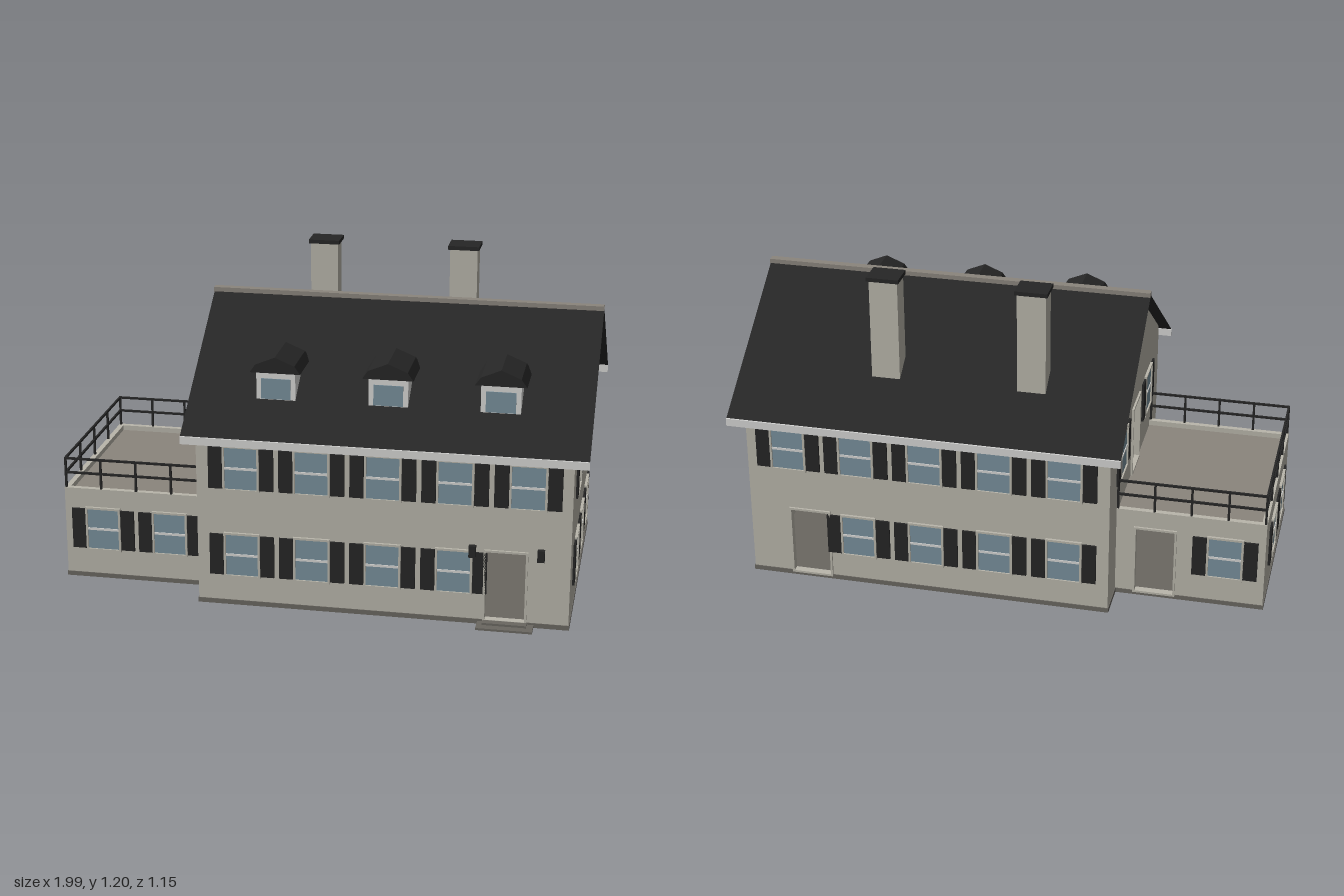
import * as THREE from 'three';

const mat = (name, color, side = THREE.FrontSide) => {
  const m = new THREE.MeshStandardMaterial({ color, side });
  m.name = name;
  return m;
};

export function createModel() {
  const stone = mat('stone wall', 0xb9b6ab);
  const black = mat('black paint', 0x262626, THREE.DoubleSide);
  const white = mat('white trim', 0xd6d6d4);
  const glass = mat('glass', 0x78909c);
  const base = mat('foundation', 0x6a6761);
  const deckMat = mat('deck', 0x8b857d);

  const house = new THREE.Group();
  house.name = 'house';
  const CZ = -0.004; // centre line of the building in z

  const add = (parent, name, geo, material, x = 0, y = 0, z = 0) => {
    const m = new THREE.Mesh(geo, material);
    m.name = name;
    m.position.set(x, y, z);
    parent.add(m);
    return m;
  };
  // box given by its minimum and maximum corners
  const box = (parent, name, material, [x0, y0, z0], [x1, y1, z1]) =>
    add(parent, name, new THREE.BoxGeometry(x1 - x0, y1 - y0, z1 - z0), material,
      (x0 + x1) / 2, (y0 + y1) / 2, (z0 + z1) / 2);
  const rectPath = (u0, y0, u1, y1, Type = THREE.Shape) => new Type([
    [u0, y0], [u1, y0], [u1, y1], [u0, y1]].map(([a, b]) => new THREE.Vector2(a, b)));
  const extrude = (shape, depth) => new THREE.ExtrudeGeometry(shape, { depth, bevelEnabled: false });
  const ring = (u0, y0, u1, y1, t, depth) => {
    const s = rectPath(u0 - t, y0 - t, u1 + t, y1 + t);
    s.holes.push(rectPath(u0, y0, u1, y1, THREE.Path));
    return extrude(s, depth);
  };

  // window with frame, sash bar and a pair of shutters
  const addWindow = (side, u, y) => {
    const w = new THREE.Group();
    w.name = 'window';
    w.position.set(u, y, 0);
    side.add(w);
    add(w, 'windowFrame', ring(-0.06, -0.08, 0.06, 0.08, 0.008, 0.01), stone);
    add(w, 'windowPane', new THREE.BoxGeometry(0.12, 0.16, 0.004), glass, 0, 0, 0.002);
    add(w, 'sashBar', new THREE.BoxGeometry(0.12, 0.009, 0.004), white, 0, 0, 0.005);
    for (const s of [-1, 1])
      add(w, 'shutter', new THREE.BoxGeometry(0.052, 0.16, 0.008), black, s * 0.095, 0, 0.004);
  };

  // one wall: local x along the wall, local z pointing out of the house
  const addWall = (name, pos, turn, outline, windows, doors) => {
    const side = new THREE.Group();
    side.name = name;
    side.position.set(...pos);
    side.rotation.y = turn;
    house.add(side);
    const shape = new THREE.Shape(outline.map(([a, b]) => new THREE.Vector2(a, b)));
    for (const [u, y] of doors) {
      shape.holes.push(rectPath(u - 0.072, y, u + 0.072, y + 0.265, THREE.Path));
      add(side, 'doorFrame', ring(u - 0.072, y, u + 0.072, y + 0.265, 0.008, 0.008), stone);
    }
    add(side, name + 'Panel', extrude(shape, 0.02), stone, 0, 0, -0.02);
    windows.forEach(([u, y]) => addWindow(side, u, y));
    return side;
  };

  const LOW = 0.2, HIGH = 0.54;
  const X0 = -0.43, X1 = 0.94, HZ = 0.514, EAVE = 0.7, RIDGE = 1.06;
  const cols = [-0.263, -0.002, 0.259, 0.52, 0.781];

  // main block
  const long = [];
  cols.forEach((x, i) => {
    long.push([x, HIGH]);
    if (i < 4) long.push([x, LOW]);
  });
  const flip = (list) => list.map(([u, y]) => [-u, y]);
  const rect = (a, b, h) => [[a, 0.015], [b, 0.015], [b, h], [a, h]];
  addWall('frontWall', [0, 0, CZ + HZ], 0, rect(X0, X1, EAVE - 0.003), long, [[0.708, 0.02]]);
  addWall('backWall', [0, 0, CZ - HZ], Math.PI, rect(-X1, -X0, EAVE - 0.003), flip(long), [[-0.708, 0.02]]);
  const gable = [[-HZ, 0.015], [HZ, 0.015], [HZ, EAVE], [0, RIDGE], [-HZ, EAVE]];
  const gableWindows = [-0.263, 0, 0.263].flatMap((u) => [[u, LOW], [u, HIGH]]);
  addWall('rightGable', [X1, 0, CZ], Math.PI / 2, gable, gableWindows, []);
  addWall('leftGable', [X0, 0, CZ], -Math.PI / 2, gable, [[-0.263, HIGH], [0.263, HIGH]], [[0, 0.35]]);
  box(house, 'mainFoundation', base, [X0 - 0.003, 0, CZ - HZ - 0.003], [X1 + 0.003, 0.018, CZ + HZ + 0.003]);

  // low wing with a roof terrace
  const WX = -0.985, WZ = 0.367, WH = 0.36;
  addWall('wingFront', [0, 0, CZ + WZ], 0, rect(WX, X0, WH), [[-0.837, LOW], [-0.577, LOW]], []);
  addWall('wingBack', [0, 0, CZ - WZ], Math.PI, rect(-X0, -WX, WH), [[0.837, LOW]], [[0.577, 0.02]]);
  addWall('wingSide', [WX, 0, CZ], -Math.PI / 2, rect(-WZ, WZ, WH), [[-0.13, LOW], [0.13, LOW]], []);
  box(house, 'wingFoundation', base, [WX - 0.003, 0, CZ - WZ - 0.003], [X0, 0.017, CZ + WZ + 0.003]);
  box(house, 'terraceDeck', deckMat, [WX + 0.01, 0.32, CZ - WZ + 0.01], [X0, 0.34, CZ + WZ - 0.01]);

  // terrace railing
  const r = 0.004, RX = WX + 0.006, RZ = WZ - 0.006;
  const post = (x, z) => box(house, 'railPost', black, [x - r, WH, z - r], [x + r, 0.48, z + r]);
  for (const s of [-1, 1]) {
    const z = CZ + s * RZ;
    for (let i = 0; i < 5; i++) post(RX + (X0 - r - RX) * i / 4, z);
    for (const y of [0.42, 0.476]) box(house, 'rail', black, [RX, y - r, z - r], [X0, y + r, z + r]);
  }
  for (let i = 1; i < 4; i++) post(RX, CZ - RZ + 2 * RZ * i / 4);
  for (const y of [0.42, 0.476]) box(house, 'sideRail', black, [RX - r, y - r, CZ - RZ], [RX + r, y + r, CZ + RZ]);

  // thin roof slopes, fascia boards and ridge cap
  const RX0 = -0.475, RX1 = 0.994, OUT = 0.563, rise = 0.7;
  for (const s of [1, -1]) {
    const g = new THREE.PlaneGeometry(RX1 - RX0, OUT * Math.hypot(1, rise));
    g.rotateX(-(Math.PI / 2 - Math.atan(rise)));
    const slope = add(house, 'roofSlope', g, black, (RX0 + RX1) / 2, RIDGE + 0.002 - OUT * rise / 2, CZ + s * OUT / 2);
    if (s < 0) slope.rotation.y = Math.PI;
    const z = CZ + s * OUT;
    box(house, 'fascia', white, [RX0, 0.64, z - 0.005], [RX1, 0.669, z + 0.005]);
  }
  box(house, 'ridgeCap', deckMat, [RX0, 1.058, CZ - 0.015], [RX1, 1.075, CZ + 0.015]);

  // chimneys
  for (const x of [-0.108, 0.437]) {
    box(house, 'chimney', stone, [x - 0.053, 0.75, -0.375], [x + 0.053, 1.185, -0.295]);
    box(house, 'chimneyCap', black, [x - 0.06, 1.185, -0.385], [x + 0.06, 1.2, -0.286]);
  }

  // dormers with arched roofs
  const arch = new THREE.Shape([[-0.093, 0.88], [0.093, 0.88], [0.072, 0.91], [0, 0.94], [-0.072, 0.91]]
    .map(([a, b]) => new THREE.Vector2(a, b)));
  for (const x of [-0.153, 0.259, 0.664]) {
    const d = new THREE.Group();
    d.name = 'dormer';
    d.position.x = x;
    house.add(d);
    box(d, 'dormerBody', white, [-0.072, 0.77, 0.24], [0.072, 0.88, 0.405]);
    box(d, 'dormerPane', glass, [-0.054, 0.778, 0.403], [0.054, 0.855, 0.408]);
    add(d, 'dormerRoof', extrude(arch, 0.195), black, 0, 0, 0.225);
  }

  // front steps and wall lamps
  box(house, 'doorStep', base, [0.61, 0.003, 0.5], [0.815, 0.011, 0.575]);
  box(house, 'upperStep', base, [0.63, 0.011, 0.5], [0.79, 0.019, 0.545]);
  for (const x of [0.587, 0.834])
    box(house, 'wallLamp', black, [x - 0.013, 0.264, 0.508], [x + 0.013, 0.308, 0.529]);

  return house;
}
